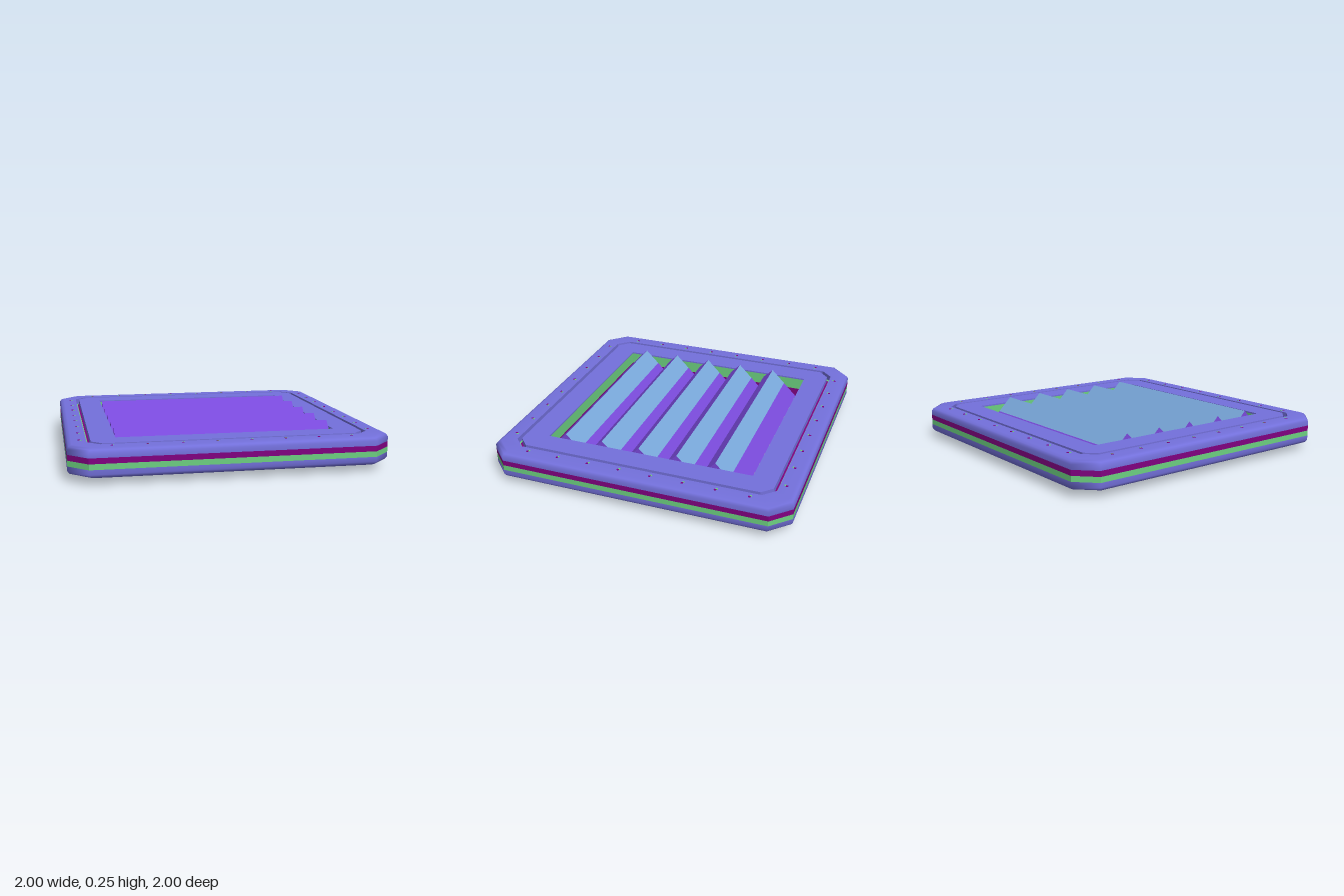
import * as THREE from 'three';

const mat = (name, color, extra = {}) => new THREE.MeshStandardMaterial({ name, color, ...extra });
const MID = 0.13; // height of the mirror plane

// Square loop of half size h with corners cut by c, at height y
const loop = ([h, c, y]) => {
  const k = h - c;
  return [[h, k], [k, h], [-k, h], [-h, k], [-h, -k], [-k, -h], [k, -h], [h, -k]].map(([x, z]) => [x, y, z]);
};

// Skin between successive loops, outside rising and top running inward
function loft(loops, smooth) {
  const pos = loops.flatMap((l) => loop(l).flat());
  const idx = [];
  for (let j = 0; j < loops.length - 1; j++) {
    for (let i = 0; i < 8; i++) {
      const p = j * 8 + i, q = j * 8 + (i + 1) % 8;
      idx.push(p, p + 8, q, q, p + 8, q + 8);
    }
  }
  let g = new THREE.BufferGeometry();
  g.setAttribute('position', new THREE.Float32BufferAttribute(pos, 3));
  g.setIndex(idx);
  if (!smooth) g = g.toNonIndexed();
  g.computeVertexNormals();
  return g;
}

// Slat: a tilted bar whose six long faces are painted separately
function slatGeometry(length) {
  const a = 0.1275, b = 0.06, m = (a - b) / 2;
  // section as [z, y]: top, right, lower middle, bottom, left, upper middle
  const s = [[b, a], [a, b], [m, -m], [-b, -a], [-a, -b], [-m, m]];
  const faceColor = [0, 0, 1, 1, 0, 1];
  const x = length / 2, pos = [];
  const g = new THREE.BufferGeometry();
  const quad = (p, q, r, t, m) => {
    g.addGroup(pos.length / 3, 6, m);
    pos.push(...p, ...q, ...r, ...p, ...r, ...t);
  };
  const at = (i, px) => [px, s[i % 6][1], s[i % 6][0]];
  for (let i = 0; i < 6; i++) quad(at(i, -x), at(i + 1, -x), at(i + 1, x), at(i, x), faceColor[i]);
  // end caps, upper half and lower half
  [[5, 0, 1, 2, 0], [2, 3, 4, 5, 1]].forEach(([i, j, k, l, m]) => {
    quad(at(l, x), at(k, x), at(j, x), at(i, x), m);
    quad(at(i, -x), at(j, -x), at(k, -x), at(l, -x), m);
  });
  g.setAttribute('position', new THREE.Float32BufferAttribute(pos, 3));
  g.computeVertexNormals();
  return g;
}

export function createModel() {
  const model = new THREE.Group();
  const blue = mat('frame blue', 0x7370db);
  const green = mat('gasket green', 0x6ccf80);
  const plum = mat('gasket plum', 0x800080);
  const violet = mat('slat violet', 0x7a4adb, { side: THREE.DoubleSide });
  const sky = mat('slat sky blue', 0x7aa9dc, { side: THREE.DoubleSide });

  const add = (name, geometry, material, parent = model) => {
    const mesh = new THREE.Mesh(geometry, material);
    mesh.name = name;
    parent.add(mesh);
    return mesh;
  };

  // Frame shells, the lower one mirrored from the upper one
  for (const lower of [false, true]) {
    const shell = new THREE.Group();
    shell.name = lower ? 'lowerFrame' : 'upperFrame';
    model.add(shell);
    const part = (name, loops, material, smooth) => {
      const l = lower ? loops.map(([h, c, y]) => [h, c, 2 * MID - y]).reverse() : loops;
      add(name, loft(l, smooth), material, shell);
    };
    part('frameRim', [[1, 0.12, 0.165], [1, 0.12, 0.195], [0.99, 0.118, 0.211], [0.97, 0.113, 0.22], [0.88, 0.075, 0.22]], blue, true);
    // narrow seam with a two-coloured floor
    part('seamOuterWall', [[0.88, 0.075, 0.22], [0.88, 0.075, 0.18]], blue);
    part('seamOuterFloor', [[0.88, 0.075, 0.18], [0.866, 0.07, 0.18]], green);
    part('seamInnerFloor', [[0.866, 0.07, 0.18], [0.855, 0.065, 0.18]], plum);
    part('seamInnerWall', [[0.855, 0.065, 0.18], [0.855, 0.065, 0.22]], blue);
    part('innerPanel', [[0.855, 0.065, 0.22], [0.7, 0, 0.22], [0.7, 0, 0.21]], blue);
    // wall of the opening and band around the outside
    part('openingWall', [[0.7, 0, 0.21], [0.7, 0, MID]], lower ? plum : green);
    part('outerBand', [[1, 0.12, MID], [1, 0.12, 0.165]], lower ? green : plum);

    // tiny two-coloured studs along each side
    const y = lower ? 0.0395 : 0.2205;
    const stud = new THREE.BoxGeometry(0.014, 0.003, 0.014);
    for (let side = 0; side < 4; side++) {
      const row = new THREE.Group();
      row.name = 'studRow';
      row.rotation.y = side * Math.PI / 2;
      for (let i = 0; i < 8; i++) {
        const x = -0.74 + i * 0.2114;
        add('stud', stud, plum, row).position.set(x, y, 0.922);
        add('studTip', stud, green, row).position.set(x + 0.006, y - 0.0003, 0.912);
      }
      shell.add(row);
    }
  }

  // Five tilted slats across the opening
  const slat = slatGeometry(1.396);
  for (let i = -2; i <= 2; i++) add('slat', slat, [violet, sky]).position.set(0, 0.1275, i * 0.2575);

  return model;
}
